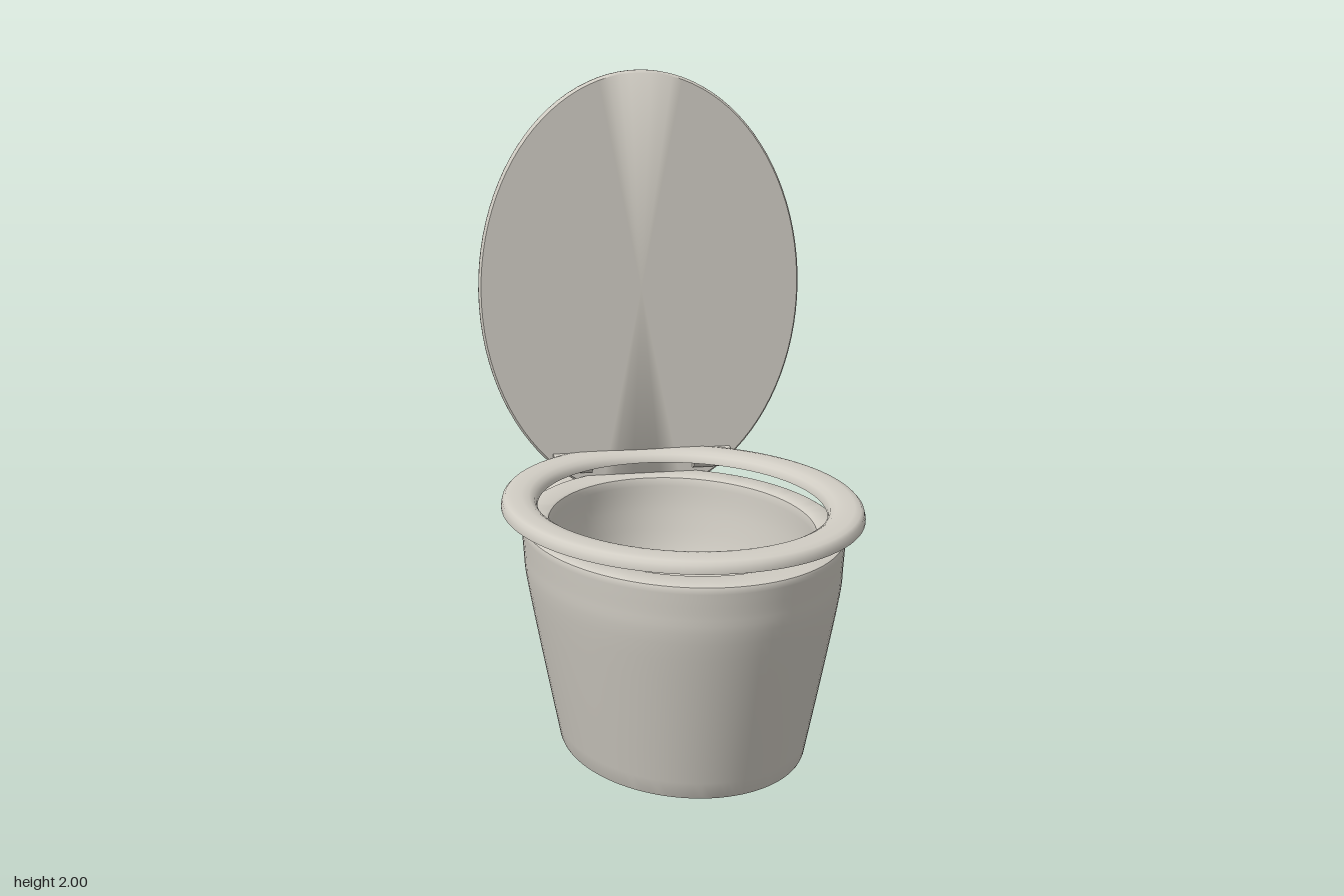
import * as THREE from 'three';
import { toCreasedNormals } from 'three/addons/utils/BufferGeometryUtils.js';
import { RoundedBoxGeometry } from 'three/addons/geometries/RoundedBoxGeometry.js';

const ceramic = new THREE.MeshStandardMaterial({ color: 0xd1cdc4 });
ceramic.name = 'warm grey ceramic';

const CENTRE_Z = 0.12;

// Revolve [radius, height] pairs, then squash in x to make an oval part.
function ovalPart(name, profile, squash) {
  const points = profile.map(([r, y]) => new THREE.Vector2(r, y));
  const geometry = new THREE.LatheGeometry(points, 96);
  geometry.scale(squash, 1, 1);
  const mesh = new THREE.Mesh(toCreasedNormals(geometry, 0.7), ceramic);
  mesh.name = name;
  return mesh;
}

// Smooth run of profile points through a few guide points.
function smooth(guides, count) {
  const curve = new THREE.SplineCurve(guides.map(([r, y]) => new THREE.Vector2(r, y)));
  return curve.getPoints(count).map((p) => [p.x, p.y]);
}

export function createModel() {
  const model = new THREE.Group();
  model.name = 'toilet';

  // Bowl: underside, flared outer wall, rim, hollow inside down to the drain
  const bowl = ovalPart('bowl', [
    [0.097, 0.085], [0.16, 0.06], [0.26, 0.04], [0.36, 0.035], [0.512, 0.035],
    ...smooth([[0.515, 0.04], [0.585, 0.29], [0.648, 0.53], [0.66, 0.62], [0.667, 0.69]], 16),
    [0.664, 0.697], [0.657, 0.7], [0.565, 0.7], [0.554, 0.695],
    ...smooth([[0.55, 0.685], [0.54, 0.58], [0.5, 0.43], [0.4, 0.29], [0.25, 0.19], [0.097, 0.125]], 22),
    [0.097, 0.085],
  ], 0.705);
  bowl.position.z = CENTRE_Z;
  model.add(bowl);

  // Seat ring: flat below, softly domed above
  const seat = ovalPart('seat', [
    [0.558, 0.745], [0.7, 0.745], [0.7, 0.752], [0.695, 0.768], [0.684, 0.777],
    [0.66, 0.78], [0.62, 0.78], [0.59, 0.777], [0.57, 0.768], [0.56, 0.755], [0.558, 0.745],
  ], 0.757);
  seat.position.z = CENTRE_Z;
  model.add(seat);

  // Raised lid: thin oval plate with a softened rim
  const lid = ovalPart('lid', [
    [0, -0.018], [0.684, -0.018], [0.689, -0.014], [0.69, -0.006],
    [0.69, 0.006], [0.688, 0.013], [0.682, 0.018], [0, 0.018],
  ], 0.755);
  lid.rotation.x = Math.PI / 2;
  lid.position.set(0, 1.31, -0.503);
  model.add(lid);

  // Pair of hinge barrels
  for (const side of [-1, 1]) {
    const hinge = new THREE.Mesh(new THREE.CylinderGeometry(0.033, 0.033, 0.125, 32), ceramic);
    hinge.name = side > 0 ? 'leftHinge' : 'rightHinge';
    hinge.rotation.z = Math.PI / 2;
    hinge.position.set(side * 0.23, 0.745, -0.482);
    model.add(hinge);
  }

  // Cistern behind the bowl
  const tank = new THREE.Mesh(new RoundedBoxGeometry(0.59, 0.635, 0.36, 6, 0.06), ceramic);
  tank.name = 'tank';
  tank.position.set(0, 0.3175, -0.64);
  model.add(tank);

  return model;
}
